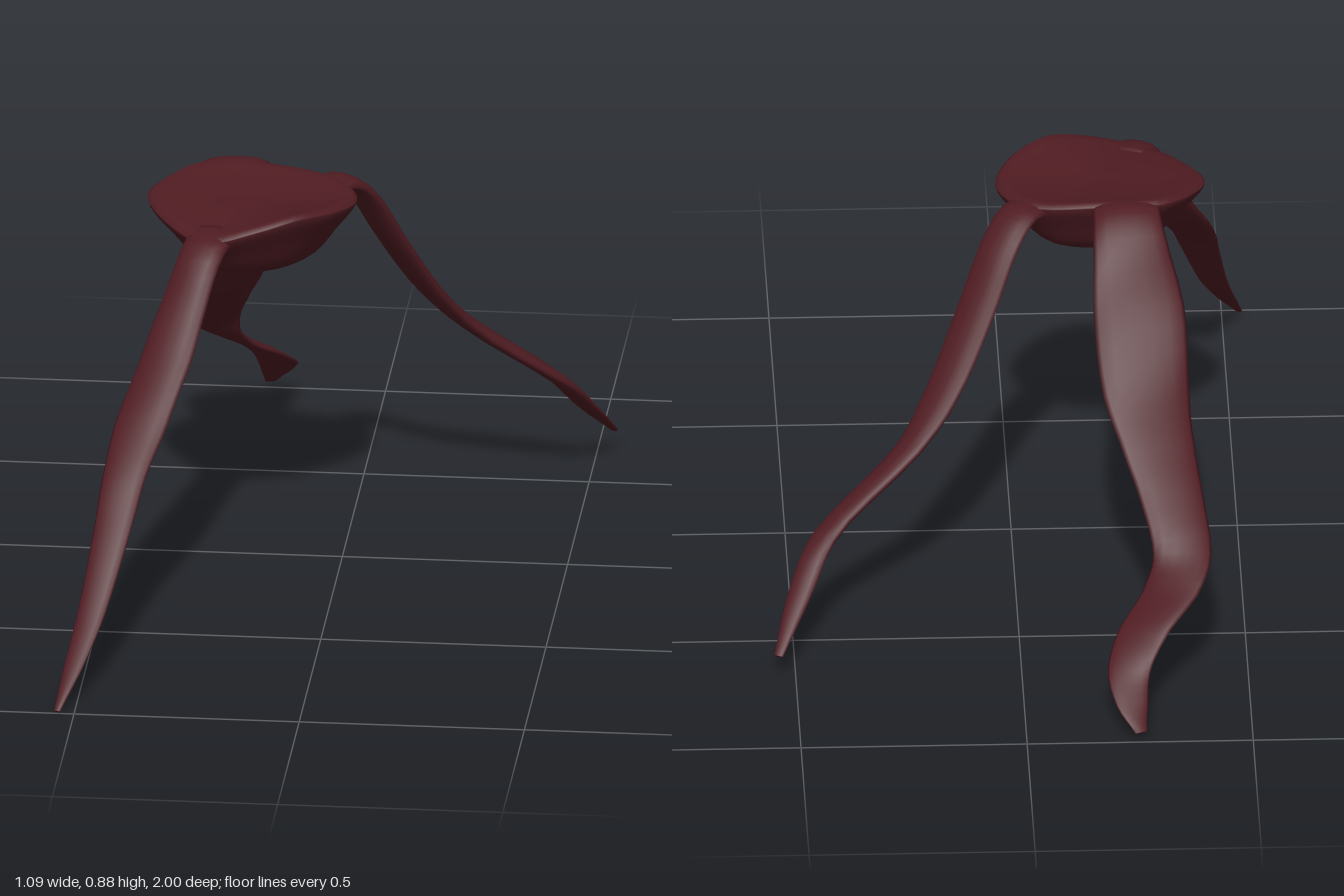
import * as THREE from 'three';
import { mergeVertices } from 'three/addons/utils/BufferGeometryUtils.js';

const material = new THREE.MeshStandardMaterial({ color: 0x4f1c22 });
const V = (x, y, z) => new THREE.Vector3(x, y, z);

// Skin a list of equal-length closed rings; rings turn counter-clockwise about the loft direction
function loft(rings, name) {
  const n = rings[0].length, index = [];
  for (let i = 0; i < rings.length - 1; i++) {
    for (let j = 0; j < n; j++) {
      const k = (j + 1) % n, a = i * n, b = a + n;
      index.push(a + j, a + k, b + k, a + j, b + k, b + j);
    }
  }
  let geo = new THREE.BufferGeometry().setFromPoints(rings.flat());
  geo.setIndex(index);
  geo = mergeVertices(geo, 1e-5);
  geo.computeVertexNormals();
  const mesh = new THREE.Mesh(geo, material);
  mesh.name = name;
  return mesh;
}

// Flat tapering limb; each station is [x, y, z, halfWidth, halfThickness]
function limb(name, stations) {
  const path = new THREE.CatmullRomCurve3(stations.map(s => V(s[0], s[1], s[2])));
  const size = new THREE.CatmullRomCurve3(stations.map(s => V(s[3], s[4], 0)), false, 'catmullrom', 0.4);
  const steps = (stations.length - 1) * 4, sides = 14, rings = [];
  for (let i = 0; i <= steps; i++) {
    const t = i / steps, c = path.getPoint(t), s = size.getPoint(t), T = path.getTangent(t);
    const W = V(0, 1, 0).cross(T).normalize(), N = T.clone().cross(W);
    const ring = [];
    for (let j = 0; j < sides; j++) {
      const a = (j / sides) * Math.PI * 2;
      ring.push(c.clone().addScaledVector(W, Math.cos(a) * s.x).addScaledVector(N, Math.sin(a) * s.y));
    }
    rings.push(ring);
  }
  // close both ends
  const cap = t => Array.from({ length: sides }, () => path.getPoint(t));
  return loft([cap(0), ...rings, cap(1)], name);
}

// Shallow bowl-shaped body with a wavy rim
function body() {
  const rim = new THREE.CatmullRomCurve3([
    V(0.035, 0.862, 0.02), V(0.0, 0.872, 0.12), V(-0.08, 0.88, 0.2), V(-0.17, 0.86, 0.235),
    V(-0.28, 0.832, 0.24), V(-0.36, 0.84, 0.17), V(-0.43, 0.858, 0.03), V(-0.4, 0.868, -0.05),
    V(-0.33, 0.88, -0.12), V(-0.2, 0.88, -0.13), V(-0.06, 0.868, -0.11), V(0.0, 0.865, -0.07),
  ], true);
  const outline = Array.from({ length: 48 }, (_, j) => rim.getPoint(j / 48));
  const top = V(-0.19, 0.862, 0.045), bottom = V(-0.19, 0.715, 0.045);
  const rings = [];
  // upper surface, slightly swollen just inside the rim
  for (const s of [0, 0.25, 0.5, 0.7, 0.85, 0.95]) {
    rings.push(outline.map(p => {
      const q = top.clone().lerp(p, s);
      q.y = THREE.MathUtils.lerp(top.y, p.y + 0.01, s * s);
      return q;
    }));
  }
  // underside: [scale, depth], smoothed
  const profile = new THREE.SplineCurve([[1, 0], [0.97, 0.12], [0.81, 0.42], [0.62, 0.78], [0.36, 0.97], [0, 1]]
    .map(p => new THREE.Vector2(...p)));
  for (const { x, y } of profile.getPoints(15)) {
    rings.push(outline.map(p => {
      const q = bottom.clone().lerp(p, Math.max(x, 0));
      q.y = THREE.MathUtils.lerp(p.y, bottom.y, y);
      return q;
    }));
  }
  return loft(rings, 'body');
}

export function createModel() {
  const model = new THREE.Group();
  model.name = 'threeLeggedCreature';
  model.add(body());

  model.add(limb('frontLeg', [
    [-0.265, 0.835, 0.18, 0.055, 0.02], [-0.287, 0.815, 0.255, 0.052, 0.022],
    [-0.32, 0.72, 0.33, 0.056, 0.02], [-0.352, 0.62, 0.405, 0.062, 0.02],
    [-0.395, 0.51, 0.5, 0.062, 0.018], [-0.425, 0.42, 0.6, 0.05, 0.014],
    [-0.443, 0.33, 0.685, 0.043, 0.012], [-0.477, 0.18, 0.815, 0.033, 0.01],
    [-0.505, 0.095, 0.9, 0.024, 0.007], [-0.538, 0.008, 0.995, 0.008, 0.004],
  ]));

  model.add(limb('backLeg', [
    [-0.25, 0.855, -0.07, 0.08, 0.018], [-0.25, 0.872, -0.14, 0.075, 0.018],
    [-0.255, 0.835, -0.205, 0.082, 0.016], [-0.272, 0.71, -0.295, 0.102, 0.015],
    [-0.285, 0.56, -0.4, 0.098, 0.015], [-0.31, 0.46, -0.48, 0.083, 0.014],
    [-0.335, 0.38, -0.56, 0.072, 0.014], [-0.355, 0.29, -0.66, 0.065, 0.012],
    [-0.33, 0.24, -0.725, 0.065, 0.011], [-0.262, 0.175, -0.81, 0.058, 0.01],
    [-0.23, 0.12, -0.88, 0.048, 0.008], [-0.235, 0.07, -0.945, 0.036, 0.006],
    [-0.253, 0.025, -0.993, 0.014, 0.004],
  ]));

  model.add(limb('leftLeg', [
    [-0.06, 0.845, -0.05, 0.05, 0.018], [-0.015, 0.855, -0.105, 0.048, 0.018],
    [0.025, 0.815, -0.155, 0.049, 0.018], [0.09, 0.67, -0.235, 0.05, 0.018],
    [0.165, 0.52, -0.32, 0.046, 0.017], [0.24, 0.42, -0.385, 0.036, 0.016],
    [0.43, 0.255, -0.485, 0.032, 0.014], [0.487, 0.16, -0.57, 0.028, 0.011],
    [0.538, 0.062, -0.678, 0.011, 0.004],
  ]));
  return model;
}
